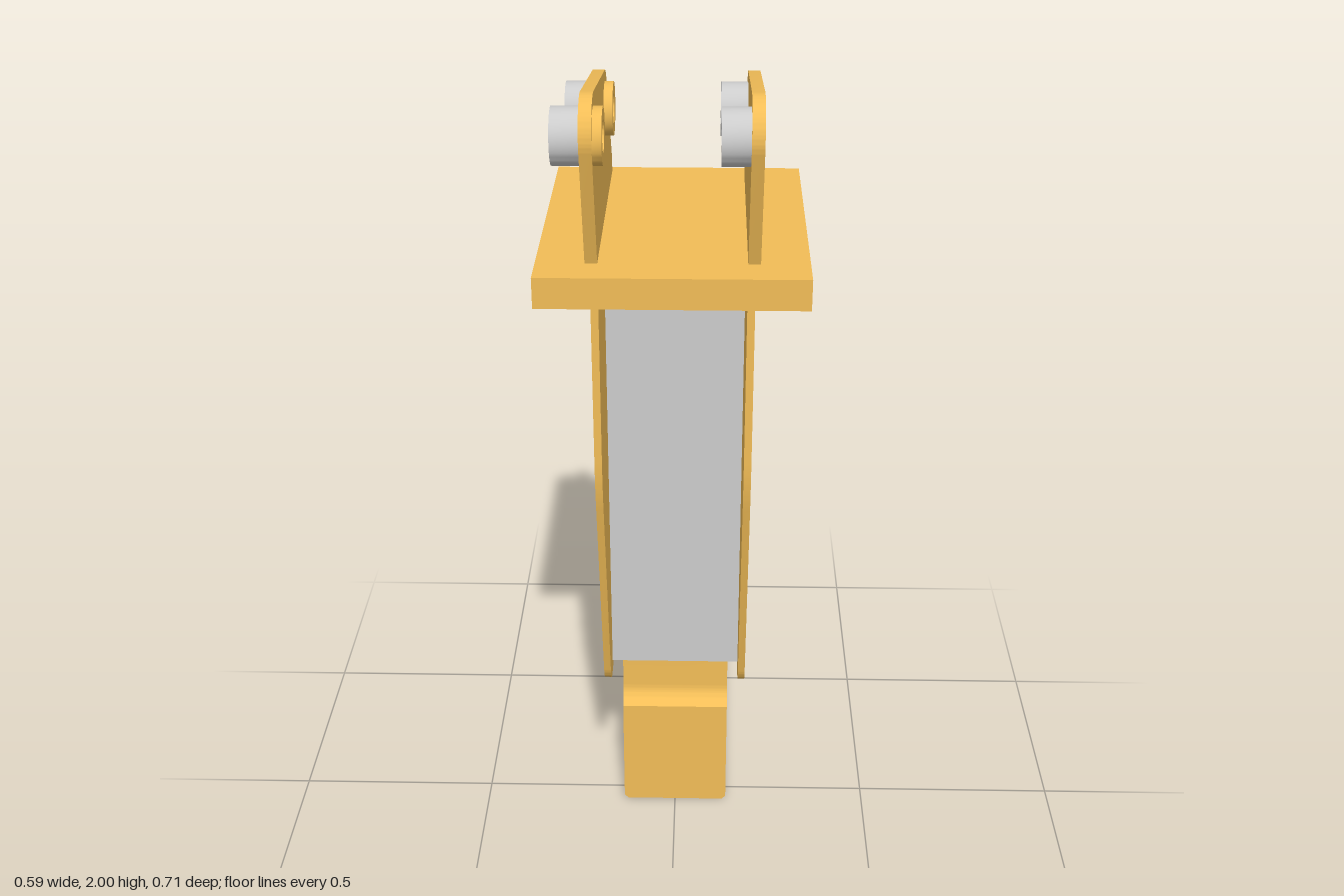
import * as THREE from 'three';
import { toCreasedNormals } from 'three/addons/utils/BufferGeometryUtils.js';

const yellow = new THREE.MeshStandardMaterial({ color: 0xf2bd57 });
const grey = new THREE.MeshStandardMaterial({ color: 0xcccccc });

// Pin positions [z, y] in the mounting ears
const PINS = [[0.294, 1.916], [-0.096, 1.855]];
const PIN_R = 0.033, BOSS_R = 0.06;

// Extrude a (z, y) profile across the model from x0 to x1
function acrossX(shape, x0, x1) {
  const g = new THREE.ExtrudeGeometry(shape, { depth: x1 - x0, bevelEnabled: false, curveSegments: 20 });
  g.rotateY(-Math.PI / 2).translate(x1, 0, 0);
  return toCreasedNormals(g, 0.6);
}

function addHole(shape, z, y, r) {
  const hole = new THREE.Path();
  hole.absarc(z, y, r, 0, Math.PI * 2, true);
  shape.holes.push(hole);
}

function earShape() {
  const s = new THREE.Shape();
  s.moveTo(-0.325, 1.63);
  s.lineTo(0.27, 1.63);
  s.absarc(0.275, 1.92, 0.08, -0.3, 1.73, false);
  s.lineTo(-0.115, 1.937);
  s.quadraticCurveTo(-0.146, 1.932, -0.167, 1.902);
  s.lineTo(-0.32, 1.672);
  s.lineTo(-0.326, 1.655);
  s.closePath();
  PINS.forEach(([z, y]) => addHole(s, z, y, PIN_R));
  return s;
}

function sidePlateShape() {
  const s = new THREE.Shape();
  s.moveTo(-0.35, 1.55);
  s.lineTo(-0.35, 0.482);
  s.quadraticCurveTo(-0.345, 0.425, -0.288, 0.42);
  s.lineTo(0.06, 0.42);
  s.quadraticCurveTo(0.112, 0.422, 0.127, 0.48);
  s.lineTo(0.252, 1.01);
  s.quadraticCurveTo(0.27, 1.08, 0.27, 1.15);
  s.lineTo(0.27, 1.55);
  s.closePath();
  return s;
}

function ringShape(z, y) {
  const s = new THREE.Shape();
  s.absarc(z, y, BOSS_R, 0, Math.PI * 2, false);
  addHole(s, z, y, PIN_R);
  return s;
}

// Lower block with a square socket underneath and softened bottom edges
function socketBlock(halfX, z0, z1, top) {
  const s = new THREE.Shape();
  s.moveTo(-halfX, -z1).lineTo(halfX, -z1).lineTo(halfX, -z0).lineTo(-halfX, -z0).closePath();
  const h = 0.0625, c = -(z0 + z1) / 2;
  const hole = new THREE.Path();
  hole.moveTo(-h, c - h).lineTo(-h, c + h).lineTo(h, c + h).lineTo(h, c - h).closePath();
  s.holes.push(hole);
  const g = new THREE.ExtrudeGeometry(s, { depth: top, steps: 2, bevelEnabled: false });
  g.rotateX(-Math.PI / 2);
  const p = g.attributes.position;
  for (let i = 0; i < p.count; i++) {
    const y = p.getY(i), x = p.getX(i);
    if (y > 0.001 && y < top - 0.001) p.setY(i, 0.01);
    if (y < 0.001 && Math.abs(x) > h + 0.01) p.setX(i, x - Math.sign(x) * 0.01);
  }
  g.computeVertexNormals();
  return g;
}

export function createModel() {
  const model = new THREE.Group();
  model.name = 'hydraulicHammer';
  const add = (name, geometry, material = yellow) => {
    const m = new THREE.Mesh(geometry, material);
    m.name = name;
    model.add(m);
    return m;
  };

  // Flat mounting plate, bare metal on its right edge
  add('mountingPlate', new THREE.BoxGeometry(0.586, 0.07, 0.706),
    [yellow, grey, yellow, yellow, yellow, yellow]).position.set(0, 1.595, 0);

  // Main body with a grey front
  add('body', new THREE.BoxGeometry(0.32, 1.11, 0.295),
    [yellow, yellow, yellow, yellow, grey, yellow]).position.set(0, 1.005, -0.0975);

  // Lower block and the notched neck above it
  add('lowerBlock', socketBlock(0.135, -0.245, 0.05, 0.305));
  const neck = new THREE.Shape();
  neck.moveTo(-0.245, 0.305);
  neck.lineTo(0.05, 0.305);
  neck.quadraticCurveTo(0.018, 0.32, 0.018, 0.352);
  neck.lineTo(0.018, 0.45);
  neck.lineTo(-0.245, 0.45);
  neck.closePath();
  add('neck', acrossX(neck, -0.135, 0.135));

  // Paired side plates and mounting ears
  for (const [side, s] of [['left', 1], ['right', -1]]) {
    const span = (a, b) => (s > 0 ? [a, b] : [-b, -a]);
    add(side + 'SidePlate', acrossX(sidePlateShape(), ...span(0.16, 0.177)));
    add(side + 'Ear', acrossX(earShape(), ...span(0.16, 0.187)));
  }

  // Pin bosses: grey tubes on the right of each ear, yellow collars inside the right ear
  PINS.forEach(([z, y], i) => {
    const end = i ? 'rear' : 'front';
    add(end + 'LeftBoss', acrossX(ringShape(z, y), 0.1, 0.16), grey);
    add(end + 'RightBoss', acrossX(ringShape(z, y), -0.246, -0.187), grey);
    add(end + 'RightCollar', acrossX(ringShape(z, y), -0.16, -0.14));
  });

  return model;
}
